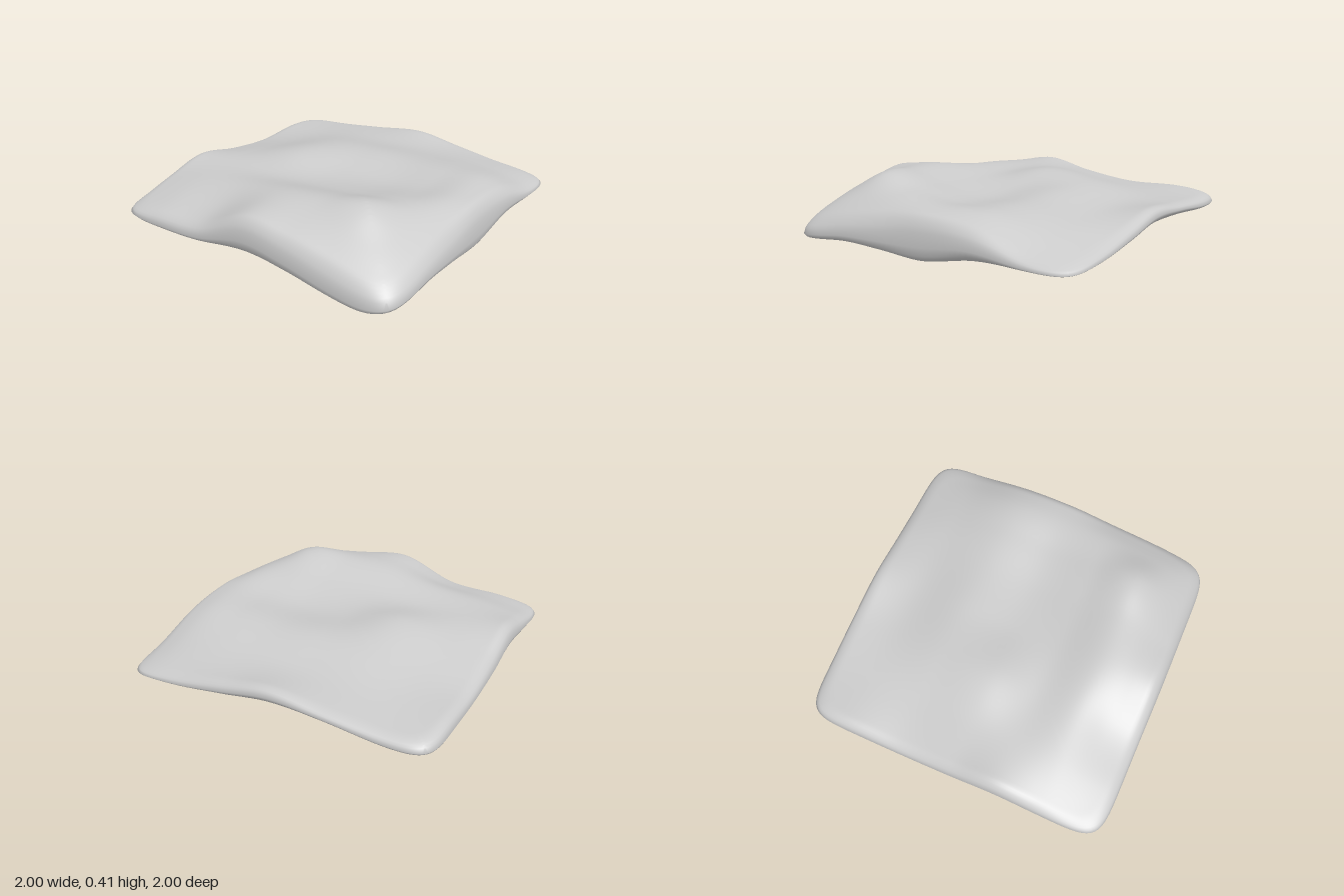
import * as THREE from 'three';
import { mergeGeometries, mergeVertices } from 'three/addons/utils/BufferGeometryUtils.js';

// Stations along x (columns) and z (rows, back to front)
const S = [-1, -0.7, -0.35, 0, 0.3, 0.58, 0.8, 1];
const TOP = [
  [0.20, 0.21, 0.25, 0.30, 0.25, 0.20, 0.175, 0.15],
  [0.22, 0.23, 0.26, 0.27, 0.27, 0.265, 0.24, 0.18],
  [0.20, 0.25, 0.32, 0.33, 0.325, 0.335, 0.335, 0.28],
  [0.24, 0.295, 0.355, 0.305, 0.295, 0.32, 0.345, 0.31],
  [0.31, 0.31, 0.31, 0.32, 0.34, 0.37, 0.35, 0.25],
  [0.24, 0.29, 0.33, 0.385, 0.41, 0.43, 0.32, 0.20],
  [0.18, 0.23, 0.26, 0.37, 0.365, 0.33, 0.26, 0.15],
  [0.15, 0.18, 0.20, 0.34, 0.29, 0.21, 0.15, 0.11],
];
// Underside heights along the four edges, and its flatter middle
const BACK = [0.12, 0.14, 0.19, 0.21, 0.17, 0.14, 0.13, 0.12];
const FRONT = [0.11, 0.09, 0.09, 0.12, 0.08, 0.02, -0.005, 0.02];
const LEFT = [0.12, 0.12, 0.11, 0.03, 0.05, 0.065, 0.045, 0.02];
const RIGHT = [0.12, 0.11, 0.11, 0.12, 0.16, 0.14, 0.12, 0.11];
const BELLY = 0.11;

// Smooth cubic through the station values
function curve(vals, t) {
  const last = S.length - 1;
  let i = 0;
  while (i < last - 1 && t > S[i + 1]) i++;
  const slope = (k) => {
    const a = Math.max(k - 1, 0), b = Math.min(k + 1, last);
    return (vals[b] - vals[a]) / (S[b] - S[a]);
  };
  const h = S[i + 1] - S[i], f = (t - S[i]) / h, f2 = f * f, f3 = f2 * f;
  return (2 * f3 - 3 * f2 + 1) * vals[i] + (f3 - 2 * f2 + f) * h * slope(i)
    + (3 * f2 - 2 * f3) * vals[i + 1] + (f3 - f2) * h * slope(i + 1);
}

const topHeight = (x, z) => curve(TOP.map((row) => curve(row, x)), z);

// Underside blended between its four edges, settling to the belly inside
function bottomHeight(x, z) {
  const a = (x + 1) / 2, b = (z + 1) / 2, mix = THREE.MathUtils.lerp;
  const edges = mix(curve(RIGHT, z), curve(LEFT, z), a) + mix(curve(BACK, x), curve(FRONT, x), b)
    - mix(mix(BACK[0], BACK[7], a), mix(FRONT[0], FRONT[7], a), b);
  return mix(edges, BELLY, (1 - x ** 4) * (1 - z ** 4));
}

// One skin of the slab, meeting the other along a rounded rim
function skin(isTop) {
  const geo = new THREE.PlaneGeometry(2, 2, 72, 72).rotateX(-Math.PI / 2);
  geo.deleteAttribute('uv');
  geo.deleteAttribute('normal');
  const pos = geo.attributes.position;
  const cluster = (t) => 0.35 * t + 0.65 * Math.sin(t * Math.PI / 2);
  for (let i = 0; i < pos.count; i++) {
    const u = cluster(pos.getX(i)), v = cluster(pos.getZ(i));
    // Pull the square's corners in to a rounded outline
    const m = Math.max(Math.abs(u), Math.abs(v));
    const n = Math.pow(Math.abs(u) ** 13 + Math.abs(v) ** 13, 1 / 13);
    const k = n > 0 ? m / n : 1, x = u * k, z = v * k;
    const t = topHeight(x, z), b = bottomHeight(x, z), mid = b + (t - b) * 0.4;
    const d = Math.min((1 - m) / 0.08, 1);
    const round = Math.sqrt(Math.max(0, 1 - (1 - d) ** 2));
    pos.setXYZ(i, x, mid + ((isTop ? t : b) - mid) * round, z);
  }
  if (!isTop) geo.setIndex(Array.from(geo.index.array).reverse());
  return geo;
}

export function createModel() {
  const group = new THREE.Group();
  group.name = 'undulatingSlab';
  const geo = mergeVertices(mergeGeometries([skin(true), skin(false)]), 1e-5);
  geo.computeVertexNormals();
  geo.computeBoundingBox();
  geo.translate(0, -geo.boundingBox.min.y, 0);
  const slab = new THREE.Mesh(geo, new THREE.MeshStandardMaterial({ color: 0xcccccc }));
  slab.name = 'slab';
  group.add(slab);
  return group;
}
